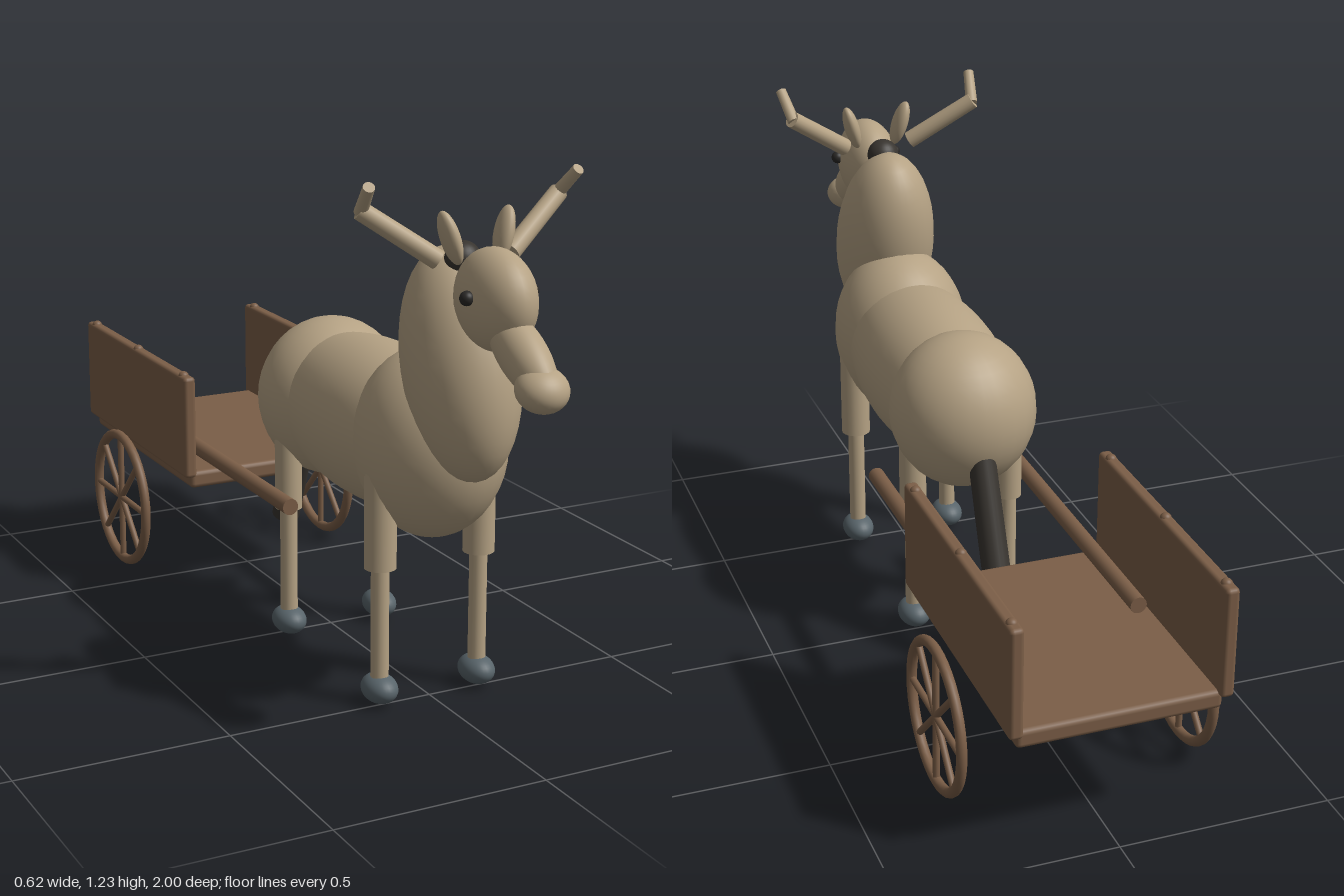
import * as THREE from 'three';
import { RoundedBoxGeometry } from 'three/addons/geometries/RoundedBoxGeometry.js';

const material = (name, color) => {
  const m = new THREE.MeshStandardMaterial({ color });
  m.name = name;
  return m;
};

export function createModel() {
  const tan = material('tan hide', 0xb5a284);
  const wood = material('cart wood', 0x7b5e47);
  const hoofGrey = material('hoof grey', 0x58646a);
  const dark = material('dark hair', 0x38342f);
  const eyeBlack = material('eye black', 0x2a2826);

  const model = new THREE.Group();
  model.name = 'deerAndCart';

  const add = (parent, name, geometry, mat, pos = [0, 0, 0], rot = [0, 0, 0]) => {
    const mesh = new THREE.Mesh(geometry, mat);
    mesh.name = name;
    mesh.position.set(...pos);
    mesh.rotation.set(...rot);
    parent.add(mesh);
    return mesh;
  };

  const ellipsoid = (parent, name, mat, pos, radii, rot) =>
    add(parent, name, new THREE.SphereGeometry(1, 28, 20).scale(...radii), mat, pos, rot);

  // Cylinder running between two points
  const rod = (parent, name, mat, from, to, r0, r1 = r0, sides = 16) => {
    const a = new THREE.Vector3(...from);
    const b = new THREE.Vector3(...to);
    const dir = b.clone().sub(a);
    const mesh = add(parent, name, new THREE.CylinderGeometry(r1, r0, dir.length(), sides), mat);
    mesh.position.copy(a).add(b).multiplyScalar(0.5);
    mesh.quaternion.setFromUnitVectors(new THREE.Vector3(0, 1, 0), dir.normalize());
    return mesh;
  };

  const animal = new THREE.Group();
  animal.name = 'deer';
  const cart = new THREE.Group();
  cart.name = 'cart';
  model.add(animal, cart);

  // Torso, neck and head
  ellipsoid(animal, 'rump', tan, [0, 0.597, 0.005], [0.18, 0.193, 0.175]);
  ellipsoid(animal, 'barrel', tan, [0, 0.598, 0.25], [0.173, 0.188, 0.41]);
  ellipsoid(animal, 'chest', tan, [0, 0.61, 0.49], [0.17, 0.218, 0.19]);
  ellipsoid(animal, 'neck', tan, [0, 0.817, 0.616], [0.125, 0.258, 0.146], [-0.31, 0, 0]);
  ellipsoid(animal, 'head', tan, [0, 0.987, 0.757], [0.075, 0.11, 0.12]);
  ellipsoid(animal, 'snout', tan, [0, 0.895, 0.865], [0.05, 0.056, 0.13], [0.55, 0, 0]);
  ellipsoid(animal, 'nose', tan, [0, 0.838, 0.944], [0.058, 0.046, 0.056], [0.4, 0, 0]);
  ellipsoid(animal, 'hairTuft', dark, [0, 1.047, 0.62], [0.04, 0.04, 0.04]);
  rod(animal, 'tail', dark, [0, 0.56, -0.115], [0, 0.214, -0.258], 0.033, 0.035, 20);

  for (const s of [1, -1]) {
    const side = s > 0 ? 'left' : 'right';

    // Eyes, ears and antlers
    ellipsoid(animal, side + 'Eye', eyeBlack, [s * 0.078, 1.0, 0.772], [0.016, 0.016, 0.016]);
    ellipsoid(animal, side + 'Ear', tan, [s * 0.065, 1.108, 0.678], [0.019, 0.06, 0.03], [-0.15, 0, -s * 0.28]);
    rod(animal, side + 'AntlerBeam', tan, [s * 0.088, 1.062, 0.668], [s * 0.242, 1.17, 0.61], 0.022, 0.021);
    rod(animal, side + 'AntlerTip', tan, [s * 0.238, 1.165, 0.607], [s * 0.252, 1.228, 0.67], 0.015, 0.013);

    // Legs
    for (const [end, z, x, r, top] of [['Front', 0.495, 0.127, 0.037, 0.57], ['Hind', 0.02, 0.125, 0.033, 0.56]]) {
      const leg = new THREE.Group();
      leg.name = side + end + 'Leg';
      leg.position.set(s * x, 0, z);
      animal.add(leg);
      rod(leg, 'upperLeg', tan, [0, 0.333, 0], [0, top, 0], r, r, 20);
      rod(leg, 'lowerLeg', tan, [0, 0.05, 0], [0, 0.35, 0], 0.021);
      ellipsoid(leg, 'hoof', hoofGrey, [0, 0.044, 0], [0.04, 0.034, 0.053]);
    }

    // Cart side boards with their top pegs, and shafts
    add(cart, side + 'Board', new RoundedBoxGeometry(0.032, 0.264, 0.688, 2, 0.01), wood, [s * 0.239, 0.459, -0.653]);
    for (const z of [-0.35, -0.655, -0.96])
      ellipsoid(cart, side + 'Peg', wood, [s * 0.239, 0.587, z], [0.013, 0.012, 0.013]);
    rod(cart, side + 'Shaft', wood, [s * 0.18, 0.378, -0.66], [s * 0.18, 0.378, 0.145], 0.02);

    // Spoked wheel
    const wheel = new THREE.Group();
    wheel.name = side + 'Wheel';
    wheel.position.set(s * 0.297, 0.187, -0.653);
    cart.add(wheel);
    add(wheel, 'rim', new THREE.TorusGeometry(0.17, 0.0125, 12, 40), wood, [0, 0, 0], [0, Math.PI / 2, 0]);
    for (let i = 0; i < 4; i++) {
      const a = (i * Math.PI) / 4;
      const y = 0.17 * Math.cos(a);
      const z = 0.17 * Math.sin(a);
      rod(wheel, 'spoke', wood, [0, -y, -z], [0, y, z], 0.008, 0.008, 10);
    }
  }

  // Cart floor
  add(cart, 'floor', new RoundedBoxGeometry(0.47, 0.045, 0.662, 2, 0.012), wood, [0, 0.317, -0.653]);

  return model;
}
